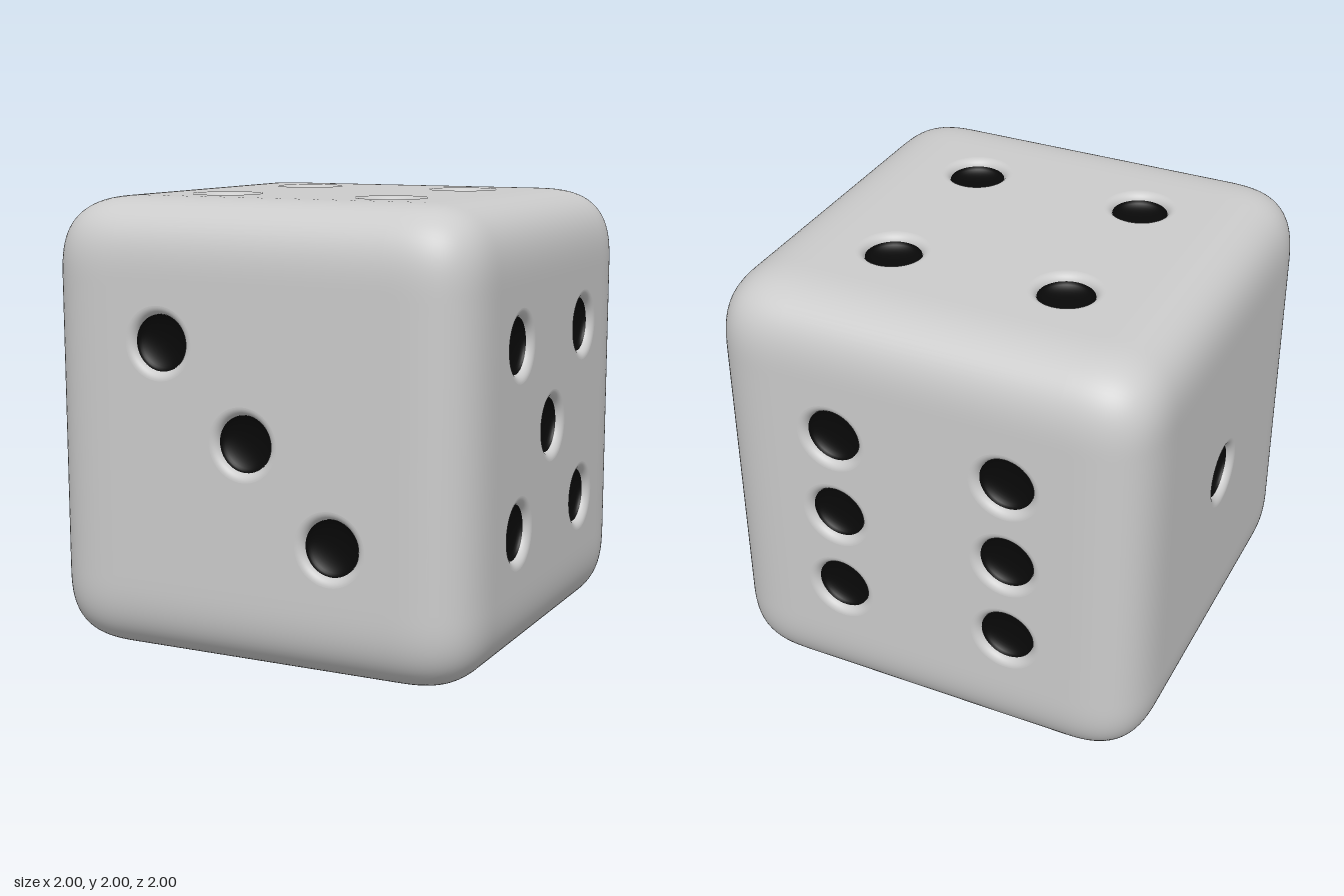
import * as THREE from 'three';

const CORE = 0.63;        // half width of the flat part of each face
const ROUND = 1 - CORE;   // reach of the soft edges
const POWER = 3;          // softness of the edge curve
const LIP = 0.16;         // outer radius of a dimple
const SIDES = 48;
const STEP = 0.4;         // pip spacing

// Rounded edges and corners: a box grid bent onto a soft curve, with the flat centres left open
function shellGeometry(k = 14) {
  const n = 2 * k + 1;
  const geo = new THREE.BoxGeometry(2, 2, 2, n, n, n);
  const pos = geo.attributes.position, nor = geo.attributes.normal;
  const flat = [];
  // signed distance past the core along one axis, from 0 to 1
  const excess = (c) => {
    const i = Math.round((c + 1) / 2 * n);
    if (i <= k) return -Math.tan((k - i) / k * Math.PI / 4);
    return Math.tan((i - k - 1) / k * Math.PI / 4);
  };
  for (let i = 0; i < pos.count; i++) {
    const c = [pos.getX(i), pos.getY(i), pos.getZ(i)];
    const e = c.map(excess);
    const len = e.reduce((s, v) => s + Math.abs(v) ** POWER, 0) ** (1 / POWER);
    const p = e.map((v, a) => Math.sign(c[a]) * CORE + ROUND * v / len);
    const m = new THREE.Vector3(...e.map((v) => Math.sign(v) * Math.abs(v) ** (POWER - 1))).normalize();
    pos.setXYZ(i, ...p);
    nor.setXYZ(i, m.x, m.y, m.z);
    flat[i] = e.filter((v) => Math.abs(v) < 1e-6).length === 2;
  }
  const kept = [], idx = geo.index.array;
  for (let t = 0; t < idx.length; t += 3) {
    const tri = [idx[t], idx[t + 1], idx[t + 2]];
    if (!tri.every((v) => flat[v])) kept.push(...tri);
  }
  geo.setIndex(kept);
  geo.clearGroups();
  return geo;
}

// Flat face centre with a round opening for every pip
function panelGeometry(pips) {
  const c = CORE;
  const shape = new THREE.Shape([[-c, -c], [c, -c], [c, c], [-c, c]].map((p) => new THREE.Vector2(...p)));
  for (const [x, y] of pips) {
    const ring = [];
    for (let i = 0; i < SIDES; i++) {
      const a = -i / SIDES * Math.PI * 2;
      ring.push(new THREE.Vector2(x + LIP * Math.cos(a), y + LIP * Math.sin(a)));
    }
    shape.holes.push(new THREE.Path(ring));
  }
  return new THREE.ShapeGeometry(shape);
}

// Turned surface facing +z, profile given from rim to centre
function turned(profile) {
  const points = profile.map(([r, y]) => new THREE.Vector2(r, y));
  return new THREE.LatheGeometry(points, SIDES).rotateX(Math.PI / 2);
}

export function createModel() {
  const model = new THREE.Group();
  model.name = 'die';
  const bodyMat = new THREE.MeshStandardMaterial({ color: 0xcccccc });
  const pipMat = new THREE.MeshStandardMaterial({ color: 0x080808 });

  const add = (parent, name, geo, mat) => {
    const mesh = new THREE.Mesh(geo, mat);
    mesh.name = name;
    parent.add(mesh);
    return mesh;
  };

  add(model, 'roundedEdges', shellGeometry(), bodyMat).position.y = 1;

  // Dimple: a soft lip rolling into a shallow dark bowl
  const lipProfile = [], bowlProfile = [];
  for (let i = 0; i <= 8; i++) {
    const a = i / 8 * 1.3;
    lipProfile.push([LIP - 0.038 * Math.sin(a) / Math.sin(1.3), -0.03 * (1 - Math.cos(a)) / (1 - Math.cos(1.3))]);
  }
  for (let i = 0; i <= 10; i++) {
    const a = i / 10 * Math.PI / 2;
    bowlProfile.push([0.122 * Math.cos(a), -0.03 - 0.045 * Math.sin(a)]);
  }
  bowlProfile[10][0] = 0;
  const lipGeo = turned(lipProfile), bowlGeo = turned(bowlProfile);

  // Pip layouts, in steps from the face centre
  const four = [[-1, -1], [1, -1], [1, 1], [-1, 1]];
  const q = Math.PI / 2;
  const faces = [
    ['frontFace', 0, 0, [[-1, 1], [0, 0], [1, -1]]],
    ['backFace', 0, 2 * q, [...four, [-1, 0], [1, 0]]],
    ['leftFace', 0, q, [...four, [0, 0]]],
    ['rightFace', 0, -q, [[0, 0]]],
    ['topFace', -q, 0, four],
    ['bottomFace', q, 0, [[1, 1], [-1, -1]]],
  ];
  for (const [name, rx, ry, layout] of faces) {
    const face = new THREE.Group();
    face.name = name;
    face.position.y = 1;
    face.rotation.set(rx, ry, 0);
    const pips = layout.map(([x, y]) => [x * STEP, y * STEP]);
    add(face, 'panel', panelGeometry(pips), bodyMat).position.z = 1;
    for (const [x, y] of pips) {
      add(face, 'pipLip', lipGeo, bodyMat).position.set(x, y, 1);
      add(face, 'pip', bowlGeo, pipMat).position.set(x, y, 1);
    }
    model.add(face);
  }
  return model;
}
